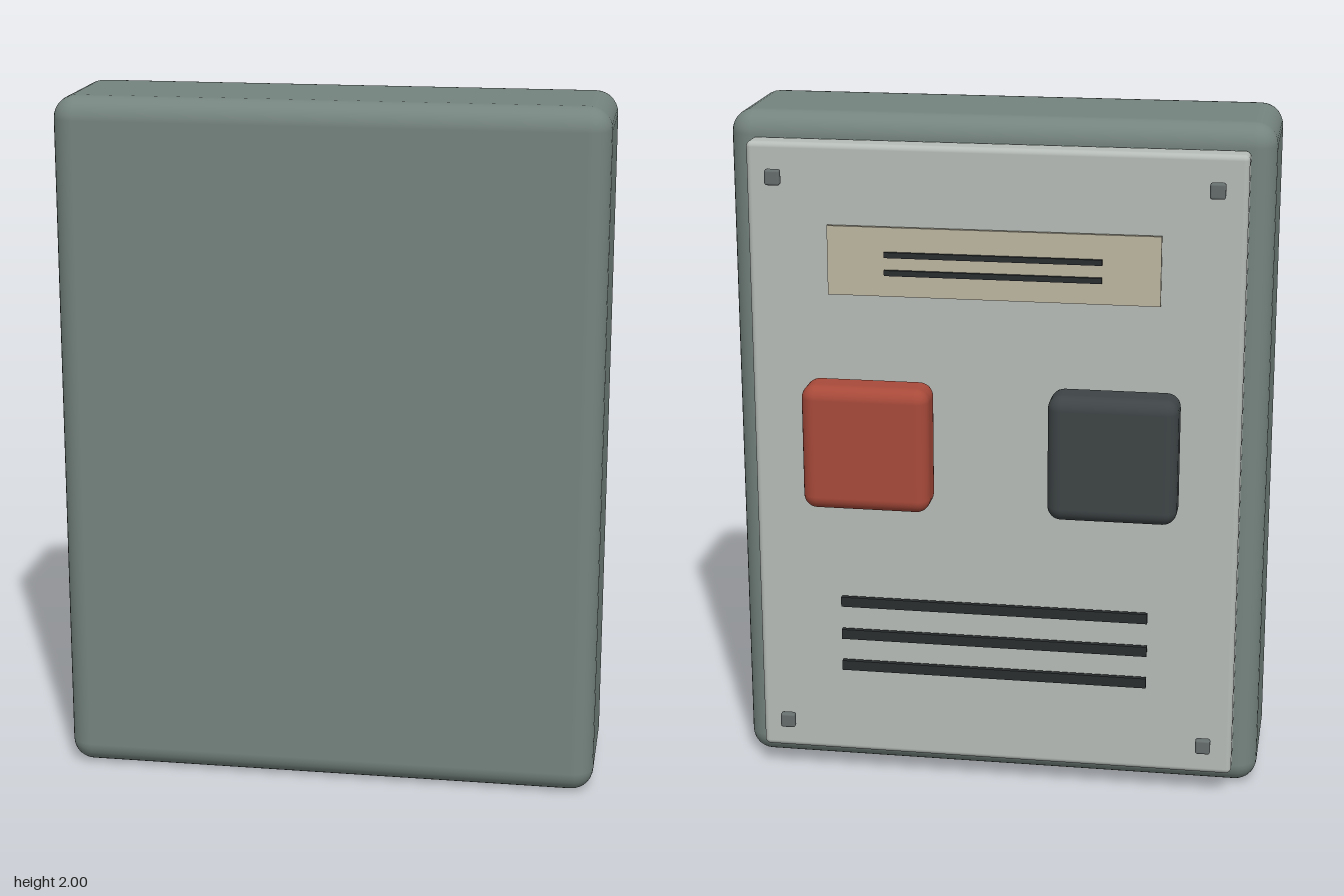
import * as THREE from 'three';
import { RoundedBoxGeometry } from 'three/addons/geometries/RoundedBoxGeometry.js';

const paint = (color) => new THREE.MeshStandardMaterial({ color });

export function createModel() {
  const model = new THREE.Group();
  const shell = paint(0x75847f), plate = paint(0xb6bcb8), cream = paint(0xbdb6a2);
  const red = paint(0xa84a3a), dark = paint(0x3e4446), black = paint(0x2a2e2f), steel = paint(0x666d6d);

  // Box centred on (x, y), spanning z0 to z1; rounded when a radius is given
  function block(name, material, x, y, w, h, z0, z1, radius = 0) {
    const d = z1 - z0;
    const geometry = radius
      ? new RoundedBoxGeometry(w, h, d, 4, radius)
      : new THREE.BoxGeometry(w, h, d);
    const mesh = new THREE.Mesh(geometry, material);
    mesh.name = name;
    mesh.position.set(x, y, (z0 + z1) / 2);
    model.add(mesh);
  }

  // Main body and the control panel on its back
  block('housing', shell, 0, 1, 1.56, 2, -0.113, 0.327, 0.065);
  block('panel', plate, 0, 1, 1.42, 1.86, -0.19, -0.108, 0.016);

  // Push buttons
  block('redButton', red, 0.355, 1.07, 0.37, 0.37, -0.327, -0.192, 0.04);
  block('darkButton', dark, -0.355, 1.07, 0.37, 0.37, -0.327, -0.192, 0.04);

  // Label plate with two printed lines
  block('labelPlate', cream, 0, 1.6, 0.95, 0.2, -0.211, -0.199);
  for (const y of [1.57, 1.622]) block('labelLine', black, 0, y, 0.62, 0.016, -0.221, -0.21);

  // Vent slots
  for (const y of [0.36, 0.46, 0.563]) block('ventSlot', black, 0, y, 0.91, 0.03, -0.219, -0.204);

  // Corner screws
  for (const x of [-0.627, 0.627])
    for (const y of [0.17, 1.835]) block('screw', steel, x, y, 0.044, 0.045, -0.228, -0.204, 0.007);

  return model;
}
